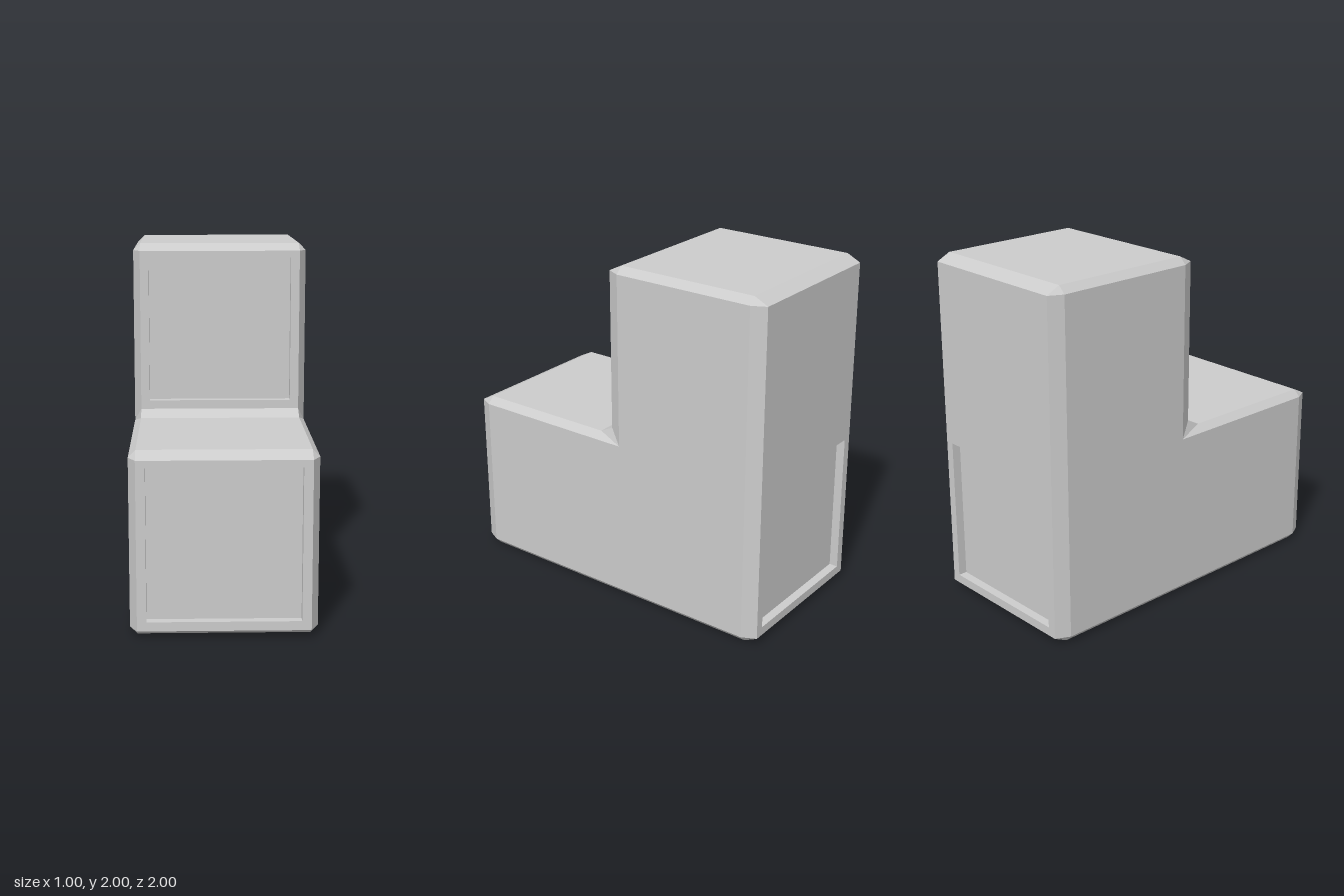
import * as THREE from 'three';

const INNER = 0.46, OUTER = 0.5;   // half widths at the bevel and at the side walls
const PANEL = 0.41, DEPTH = 0.05;  // half width and depth of the sunken panels

// Stepped side profile: z, y on the bevelled rim, then z, y on the side wall.
// An optional fifth entry [from y, to y] sinks a panel in the face that starts there.
const PROFILE = [
  [1, 0.04, 0.92, 0.04, [0.09, 0.92]], [1, 0.96, 0.92, 0.96],
  [0.92, 1, 0.92, 0.96], [0.08, 1, -0.08, 0.96],
  [0, 1.04, -0.08, 0.96, [1.09, 1.92]], [0, 1.96, -0.08, 1.96],
  [-0.08, 2, -0.08, 1.96], [-0.92, 2, -0.92, 1.96],
  [-1, 1.96, -0.92, 1.96, [0.92, 0.09]], [-1, 0.04, -0.92, 0.04],
  [-0.92, 0, -0.92, 0.04], [0.92, 0, 0.92, 0.04],
];

const material = new THREE.MeshStandardMaterial({ color: 0xcccccc, flatShading: true });

function makeMesh(name, positions) {
  const geometry = new THREE.BufferGeometry();
  geometry.setAttribute('position', new THREE.Float32BufferAttribute(positions, 3));
  geometry.computeVertexNormals();
  const mesh = new THREE.Mesh(geometry, material);
  mesh.name = name;
  return mesh;
}

const same = (p, q) => p.every((v, i) => v === q[i]);

// Quad from counter-clockwise corners, dropping collapsed triangles
function quad(out, a, b, c, d) {
  if (!same(b, c)) out.push(...a, ...b, ...c);
  if (!same(a, d)) out.push(...a, ...c, ...d);
}

// Four sides joining two rectangles
function ring(out, outer, inner) {
  for (let k = 0; k < 4; k++) {
    const n = (k + 1) % 4;
    quad(out, outer[k], outer[n], inner[n], inner[k]);
  }
}

const rectangle = (half, y0, y1, z) =>
  [[-half, y0, z], [half, y0, z], [half, y1, z], [-half, y1, z]];

export function createModel() {
  const group = new THREE.Group();
  group.name = 'steppedBlock';
  const body = [];
  const panelNames = ['lowerFrontPanel', 'upperFrontPanel', 'backPanel'];

  // Faces around the profile, with bevels to both side walls
  const row = ([z, y, sideZ, sideY]) =>
    [[-OUTER, sideY, sideZ], [-INNER, y, z], [INNER, y, z], [OUTER, sideY, sideZ]];
  PROFILE.forEach((point, i) => {
    const next = PROFILE[(i + 1) % PROFILE.length];
    const a = row(point), b = row(next);
    for (let k = 0; k < 3; k++) {
      if (k === 1 && point[4]) continue;
      quad(body, a[k], a[k + 1], b[k + 1], b[k]);
    }
    if (!point[4]) return;

    // Frame around a sunken panel
    const z = point[0], [y0, y1] = point[4];
    const floorZ = z - DEPTH * (next[1] > point[1] ? 1 : -1);
    const opening = rectangle(PANEL, y0, y1, z);
    const floor = rectangle(PANEL, y0, y1, floorZ);
    ring(body, rectangle(INNER, point[1], next[1], z), opening);
    const panel = [];
    ring(panel, opening, floor);
    quad(panel, ...floor);
    group.add(makeMesh(panelNames.shift(), panel));
  });

  // Flat side walls
  const wall = [];
  for (const [, , z, y] of PROFILE) {
    const last = wall[wall.length - 1];
    if (!last || last.x !== z || last.y !== y) wall.push(new THREE.Vector2(z, y));
  }
  if (wall[0].equals(wall[wall.length - 1])) wall.pop();
  for (const [i, j, k] of THREE.ShapeUtils.triangulateShape(wall, [])) {
    const at = (n, x) => [x, wall[n].y, wall[n].x];
    body.push(...at(i, -OUTER), ...at(j, -OUTER), ...at(k, -OUTER));
    body.push(...at(i, OUTER), ...at(k, OUTER), ...at(j, OUTER));
  }

  group.add(makeMesh('body', body));
  return group;
}
